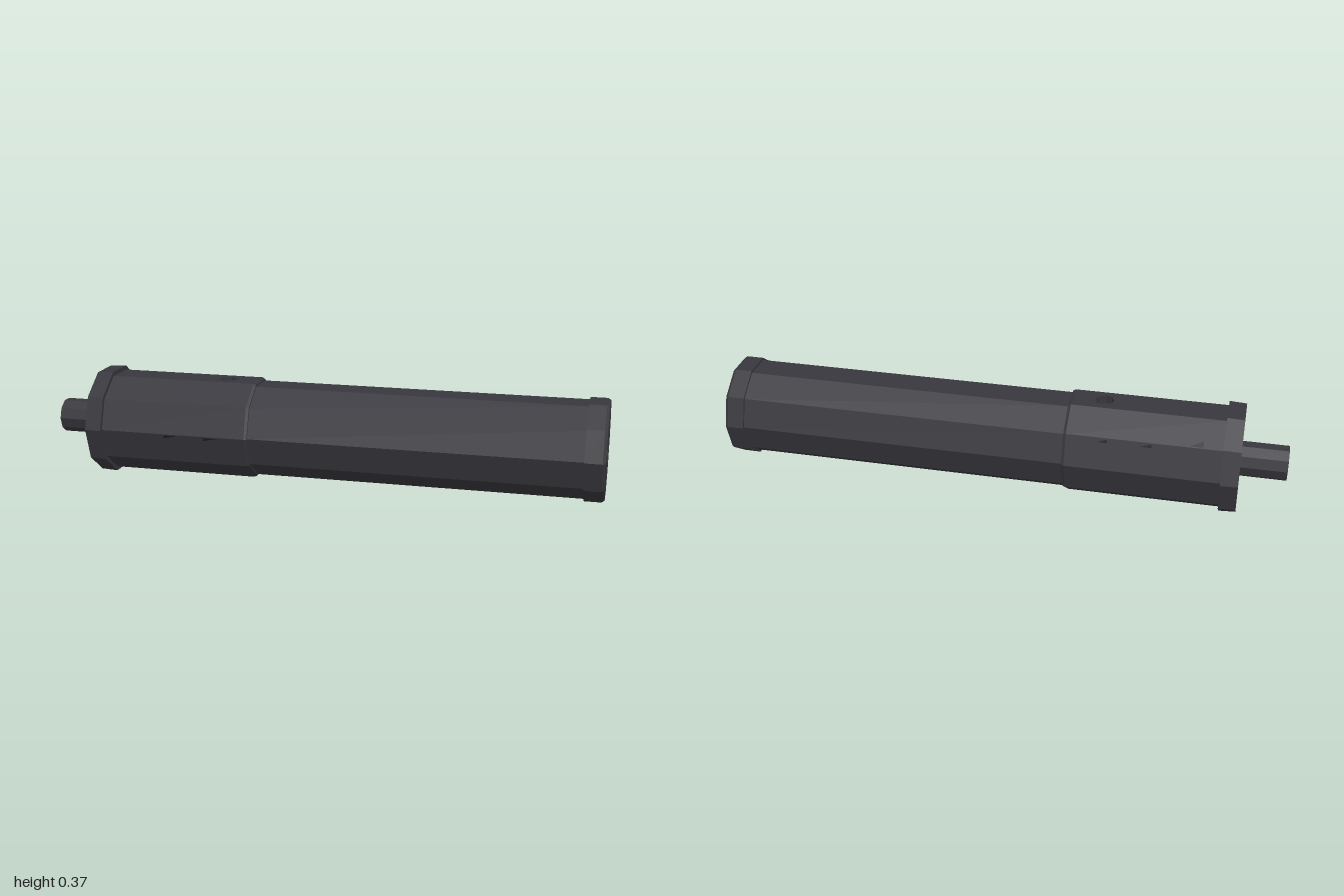
import * as THREE from 'three';

const SIDES = 10, CY = 0.1875;
const SLEEVE_R = 0.182, X0 = -0.78, X1 = -0.245;
const APOTHEM = SLEEVE_R * Math.cos(Math.PI / SIDES);
const HALF = SLEEVE_R * Math.sin(Math.PI / SIDES);

export function createModel() {
  const gunmetal = new THREE.MeshStandardMaterial({ color: 0x38373d });
  gunmetal.name = 'gunmetal';
  const shadowMetal = new THREE.MeshStandardMaterial({ color: 0x1e1d22 });
  shadowMetal.name = 'darkMetal';

  const group = new THREE.Group();
  group.name = 'barrelTube';

  function add(name, geometry, parent = group, material = gunmetal) {
    const flat = geometry.index ? geometry.toNonIndexed() : geometry;
    flat.computeVertexNormals();
    const mesh = new THREE.Mesh(flat, material);
    mesh.name = name;
    parent.add(mesh);
    return mesh;
  }

  // faceted solid turned about the long axis; profile is [radius, x]
  function turned(name, profile) {
    const g = new THREE.LatheGeometry(profile.map(p => new THREE.Vector2(...p)), SIDES);
    add(name, g.rotateZ(-Math.PI / 2).translate(0, CY, 0));
  }

  turned('hollowStub', [[0, -0.83], [0.05, -0.83], [0.05, -1], [0.062, -1], [0.062, -0.84]]);
  turned('collar', [[0.062, -0.84], [0.194, -0.84], [0.197, -0.78], [SLEEVE_R, X0]]);
  turned('sleeveChamfer', [[SLEEVE_R, X1], [0.177, -0.235], [0.171, -0.235]]);
  turned('mainTube', [[0.171, -0.235], [0.171, 0.93]]);
  turned('endCap', [[0.171, 0.93], [0.179, 0.93], [0.179, 0.99], [0.172, 1], [0.047, 1]]);
  turned('bore', [[0.047, 1], [0.047, 0.8], [0, 0.8]]);

  // sleeve: one flat panel per side, the top one pierced by a round port
  const sleeve = new THREE.Group();
  sleeve.name = 'sleeve';
  sleeve.position.y = CY;
  group.add(sleeve);

  const PORT_X = -0.355, PORT_R = 0.033, PORT_SIDES = 8;
  const onSide = (shape, side, lift = 0) => new THREE.ShapeGeometry(shape)
    .rotateX(-Math.PI / 2)
    .translate(0, APOTHEM + lift, 0)
    .rotateX(side * 2 * Math.PI / SIDES);
  const polygon = pts => new THREE.Shape(pts.map(p => new THREE.Vector2(...p)));

  for (let i = 0; i < SIDES; i++) {
    const panel = polygon([[X0, -HALF], [X1, -HALF], [X1, HALF], [X0, HALF]]);
    if (i === 0) {
      const rim = [];
      for (let k = 0; k < PORT_SIDES; k++) {
        const a = k * 2 * Math.PI / PORT_SIDES;
        rim.push(new THREE.Vector2(PORT_X + PORT_R * Math.sin(a), PORT_R * Math.cos(a)));
      }
      panel.holes.push(new THREE.Path(rim));
    }
    add('sleevePanel', onSide(panel, i), sleeve);
  }

  // recessed port wall and floor
  const port = [[PORT_R, 0], [PORT_R, -0.03], [0, -0.03]].map(p => new THREE.Vector2(...p));
  add('portRecess', new THREE.LatheGeometry(port, PORT_SIDES).translate(PORT_X, APOTHEM, 0), sleeve);

  // small wedge nicks in the sleeve: [side, x, across, length, height]
  const nicks = [
    [9, -0.69, 0.03, 0.045, 0.022], [8, -0.52, -0.052, 0.04, 0.012], [8, -0.37, -0.052, 0.035, 0.012],
    [3, -0.52, 0.04, 0.05, 0.012], [3, -0.37, 0.04, 0.05, 0.012],
  ];
  for (const [side, x, v, len, h] of nicks) {
    const wedge = polygon([[x - len / 2, v], [x + len / 2, v + h], [x - len / 2, v + h]]);
    add('nick', onSide(wedge, side, 0.001), sleeve, shadowMetal);
  }

  return group;
}
